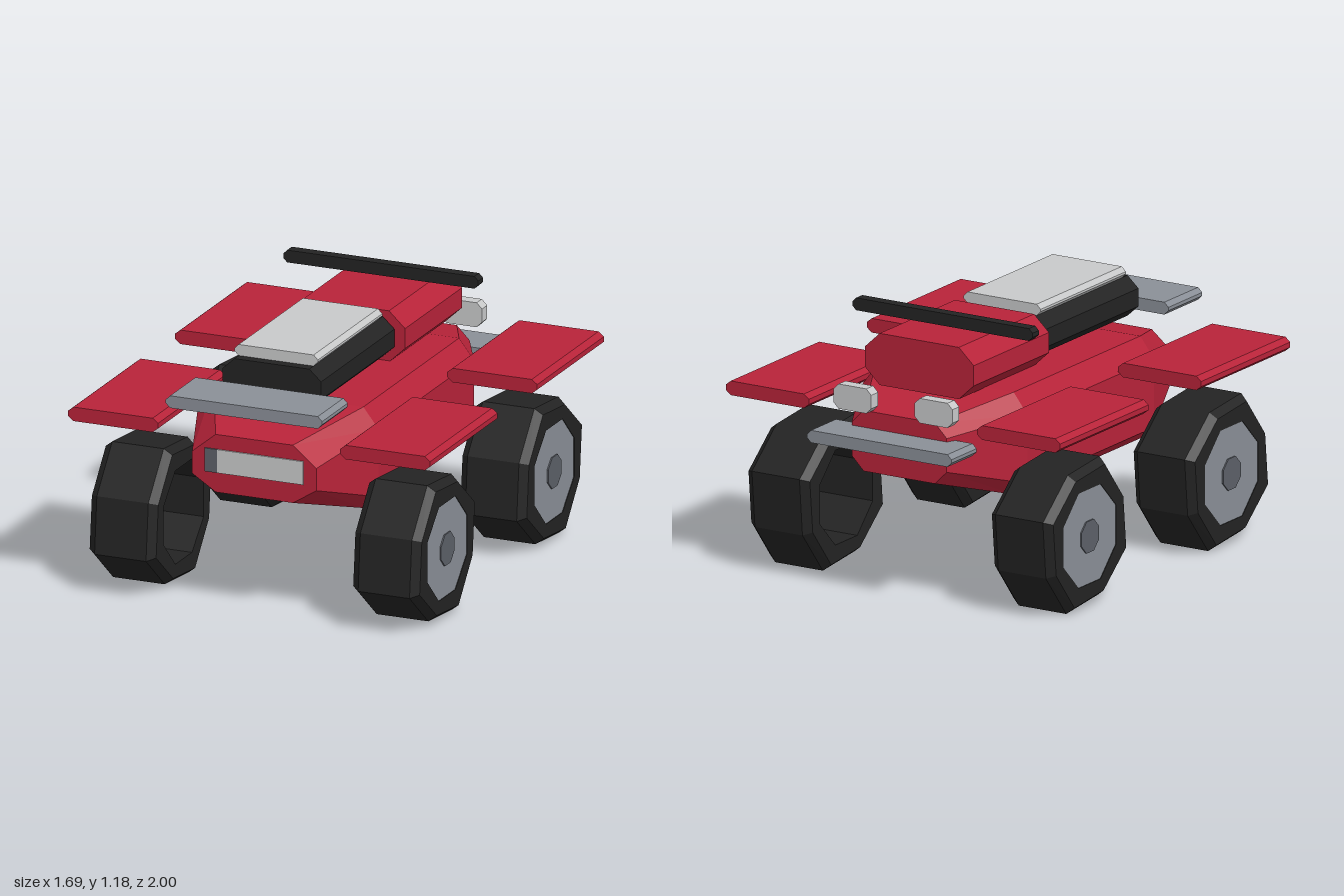
import * as THREE from 'three';

const mat = (name, color) => Object.assign(new THREE.MeshStandardMaterial({ color }), { name });

// Faceted skin through rings of [x, y, z] points, ordered from back (-z) to front (+z)
function loft(rings, closed = false) {
  const pos = [];
  const tri = (...p) => p.forEach(v => pos.push(...v));
  const n = rings[0].length;
  const last = closed ? rings.length : rings.length - 1;
  for (let i = 0; i < last; i++) {
    const r = rings[i], s = rings[(i + 1) % rings.length];
    for (let j = 0; j < n; j++) {
      const k = (j + 1) % n;
      tri(r[j], r[k], s[k]);
      tri(r[j], s[k], s[j]);
    }
  }
  if (!closed) {
    const b = rings[0], f = rings[rings.length - 1];
    for (let j = 1; j < n - 1; j++) {
      tri(b[0], b[j + 1], b[j]);
      tri(f[0], f[j], f[j + 1]);
    }
  }
  const g = new THREE.BufferGeometry();
  g.setAttribute('position', new THREE.Float32BufferAttribute(pos, 3));
  g.computeVertexNormals();
  return g;
}

// Chamfered rectangle at depth z; the chamfers at top and bottom may differ
const chamfered = (x0, x1, y0, y1, z, cx, cTop, cBottom = cTop) => [
  [x1, y0 + cBottom, z], [x1, y1 - cTop, z], [x1 - cx, y1, z], [x0 + cx, y1, z],
  [x0, y1 - cTop, z], [x0, y0 + cBottom, z], [x0 + cx, y0, z], [x1 - cx, y0, z],
];

// Eight-sided ring; alternate corners may have their own radius
const ring = (z, rA, rB = rA) => Array.from({ length: 8 }, (_, k) => {
  const a = (k + 0.5) * Math.PI / 4, r = k % 2 ? rB : rA;
  return [r * Math.cos(a), r * Math.sin(a), z];
});

export function createModel() {
  const red = mat('red paint', 0xb82339);
  const black = mat('black rubber', 0x232323);
  const grey = mat('grey metal', 0x8a8f97);
  const dark = mat('dark metal', 0x5c6068);
  const pale = mat('pale panel', 0xc8c9ca);

  const model = new THREE.Group();
  model.name = 'quadBike';
  const add = (name, geometry, material, parent = model) => {
    const m = new THREE.Mesh(geometry, material);
    m.name = name;
    parent.add(m);
    return m;
  };
  const prism = (name, material, x0, x1, y0, y1, z0, z1, cx, cy = cx) =>
    add(name, loft([z0, z1].map(z => chamfered(x0, x1, y0, y1, z, cx, cy))), material);

  // Body, tapered at both ends
  add('body', loft([
    chamfered(-0.24, 0.24, 0.54, 0.81, -0.84, 0.06, 0.06),
    chamfered(-0.42, 0.42, 0.43, 0.885, -0.48, 0.07, 0.09, 0.06),
    chamfered(-0.42, 0.42, 0.43, 0.885, 0.53, 0.07, 0.09, 0.06),
    chamfered(-0.29, 0.29, 0.54, 0.8, 0.89, 0.11, 0.09, 0.07),
  ]), red);

  // Front panel with a dark end strip
  const panel = (name, x0, x1, material) => {
    const g = new THREE.BoxGeometry(x1 - x0, 0.105, 0.008);
    add(name, g, material).position.set((x0 + x1) / 2, 0.682, 0.893);
  };
  panel('frontPanel', -0.17, 0.23, pale);
  panel('frontPanelStrip', -0.23, -0.17, dark);

  // Seat, its pad and the rear hump
  prism('seat', black, -0.23, 0.23, 0.905, 1.085, -0.07, 0.705, 0.055, 0.05);
  prism('seatPad', pale, -0.195, 0.195, 1.085, 1.135, -0.02, 0.66, 0.02);
  prism('rearHump', red, -0.275, 0.275, 0.88, 1.11, -0.68, -0.08, 0.075, 0.07);

  // Handlebar and racks
  prism('handlebar', black, -0.455, 0.455, 1.13, 1.185, -0.495, -0.445, 0.018);
  prism('frontRack', grey, -0.365, 0.365, 0.93, 0.985, 0.73, 1.0, 0.02);
  prism('rearRack', grey, -0.365, 0.365, 0.68, 0.735, -1.0, -0.8, 0.02);

  // Lamps, fenders and wheels on both sides
  for (const s of [-1, 1]) {
    const side = s > 0 ? 'left' : 'right';
    const pair = (a, b) => (s > 0 ? [a, b] : [-b, -a]);
    prism(side + 'Lamp', pale, ...pair(0.11, 0.3), 0.815, 0.925, -0.89, -0.835, 0.025);

    for (const [end, z, f0, f1] of [['Front', 0.595, 0.235, 0.945], ['Rear', -0.536, -0.89, -0.185]]) {
      prism(side + end + 'Fender', red, ...pair(0.425, 0.845), 0.79, 0.853, f0, f1, 0.025, 0.02);

      const wheel = new THREE.Group();
      wheel.name = side + end + 'Wheel';
      wheel.position.set(s * 0.615, 0.324, z);
      wheel.rotation.y = Math.PI / 2;
      model.add(wheel);

      // Hollow tyre
      add('tyre', loft([
        ring(-0.155, 0.228), ring(-0.155, 0.315, 0.29), ring(-0.12, 0.345, 0.319),
        ring(0.12, 0.345, 0.319), ring(0.155, 0.315, 0.29), ring(0.155, 0.228),
      ], true), black, wheel);

      // Rim and hub on the outer side
      const disc = (name, r, a, b, material) => {
        const [z0, z1] = pair(a, b);
        add(name, loft([ring(z0, r), ring(z1, r)]), material, wheel);
      };
      disc('rim', 0.228, 0.12, 0.152, grey);
      disc('hub', 0.076, 0.152, 0.158, dark);
    }
  }
  return model;
}
